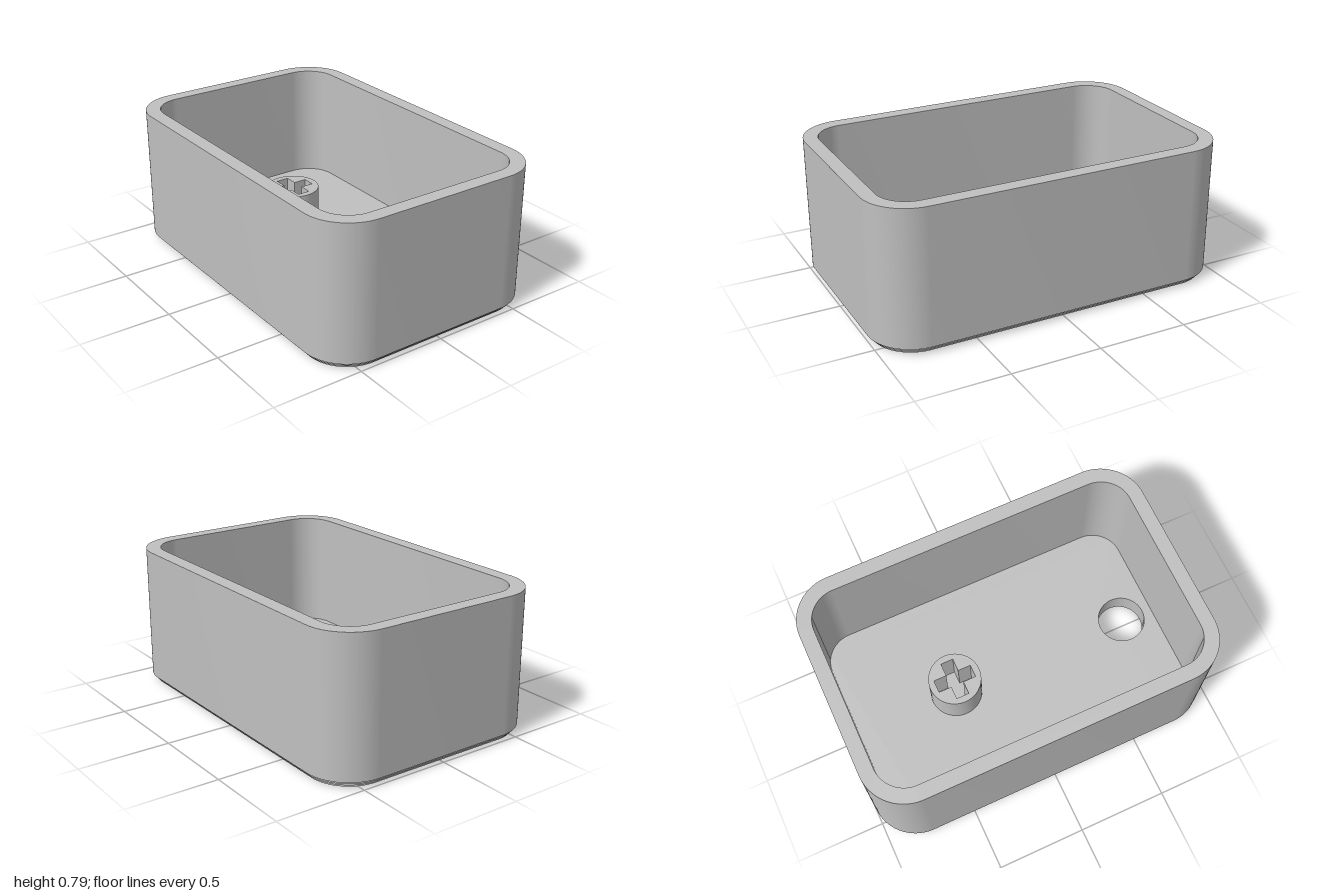
import * as THREE from 'three';
import { toCreasedNormals } from 'three/addons/utils/BufferGeometryUtils.js';

const HEIGHT = 0.79, FLOOR_TOP = 0.13, STEM_TOP = 0.35;
const STEP = 0.0117, STEP_INSET = 0.01;
const HOLE_Z = 0.735, STEM_Z = -0.32;

// Draws a rounded rectangle, given half sizes, into a shape or path
function roundedRect(path, hx, hz, r) {
  path.moveTo(hx, -hz + r);
  path.absarc(hx - r, hz - r, r, 0, Math.PI / 2, false);
  path.absarc(-hx + r, hz - r, r, Math.PI / 2, Math.PI, false);
  path.absarc(-hx + r, -hz + r, r, Math.PI, Math.PI * 1.5, false);
  path.absarc(hx - r, -hz + r, r, Math.PI * 1.5, Math.PI * 2, false);
  return path;
}
const outer = (inset) => roundedRect(new THREE.Shape(), 0.657 - inset, 1 - inset, 0.25 - inset);
const inner = (path) => roundedRect(path, 0.575, 0.92, 0.17);

// Round through-hole (shape y points to -z)
const drainHole = () => new THREE.Path().absarc(0, -HOLE_Z, 0.134, 0, Math.PI * 2, true);

// Cross-shaped socket outline
function crossPath(cy, a, b) {
  const quarter = [[a, b], [b, b], [b, a]];
  const points = [];
  for (let i = 0; i < 4; i++) {
    const c = Math.round(Math.cos(i * Math.PI / 2)), s = Math.round(Math.sin(i * Math.PI / 2));
    for (const [x, y] of [...quarter].map(([x, y]) => [x, y])) {
      points.push(new THREE.Vector2(x * c - y * s, cy + x * s + y * c));
    }
  }
  return new THREE.Path(points);
}

export function createModel() {
  const model = new THREE.Group();
  model.name = 'openTray';
  const grey = new THREE.MeshStandardMaterial({ color: 0xc0c0c0 });
  grey.name = 'grey';

  // Extrudes a plan outline between two heights
  function slab(name, shape, y0, y1, hole) {
    if (hole) shape.holes.push(hole);
    const g = new THREE.ExtrudeGeometry(shape, { depth: y1 - y0, bevelEnabled: false, curveSegments: 24 });
    g.rotateX(-Math.PI / 2).translate(0, y0, 0);
    const mesh = new THREE.Mesh(toCreasedNormals(g, 0.5), grey);
    mesh.name = name;
    model.add(mesh);
  }

  // Stepped foot: a full base plate and two rings growing outwards
  slab('basePlate', outer(3 * STEP_INSET), 0, STEP, drainHole());
  for (let i = 1; i < 3; i++) {
    slab('footStep' + i, outer((3 - i) * STEP_INSET), i * STEP, (i + 1) * STEP, inner(new THREE.Path()));
  }

  // Walls and inside floor
  slab('walls', outer(0), 3 * STEP, HEIGHT, inner(new THREE.Path()));
  slab('floor', inner(new THREE.Shape()), STEP, FLOOR_TOP, drainHole());

  // Round stem with a cross socket down to the floor
  const stem = new THREE.Shape().absarc(0, -STEM_Z, 0.147, 0, Math.PI * 2, false);
  slab('stem', stem, FLOOR_TOP, STEM_TOP, crossPath(-STEM_Z, 0.11, 0.036));

  return model;
}
